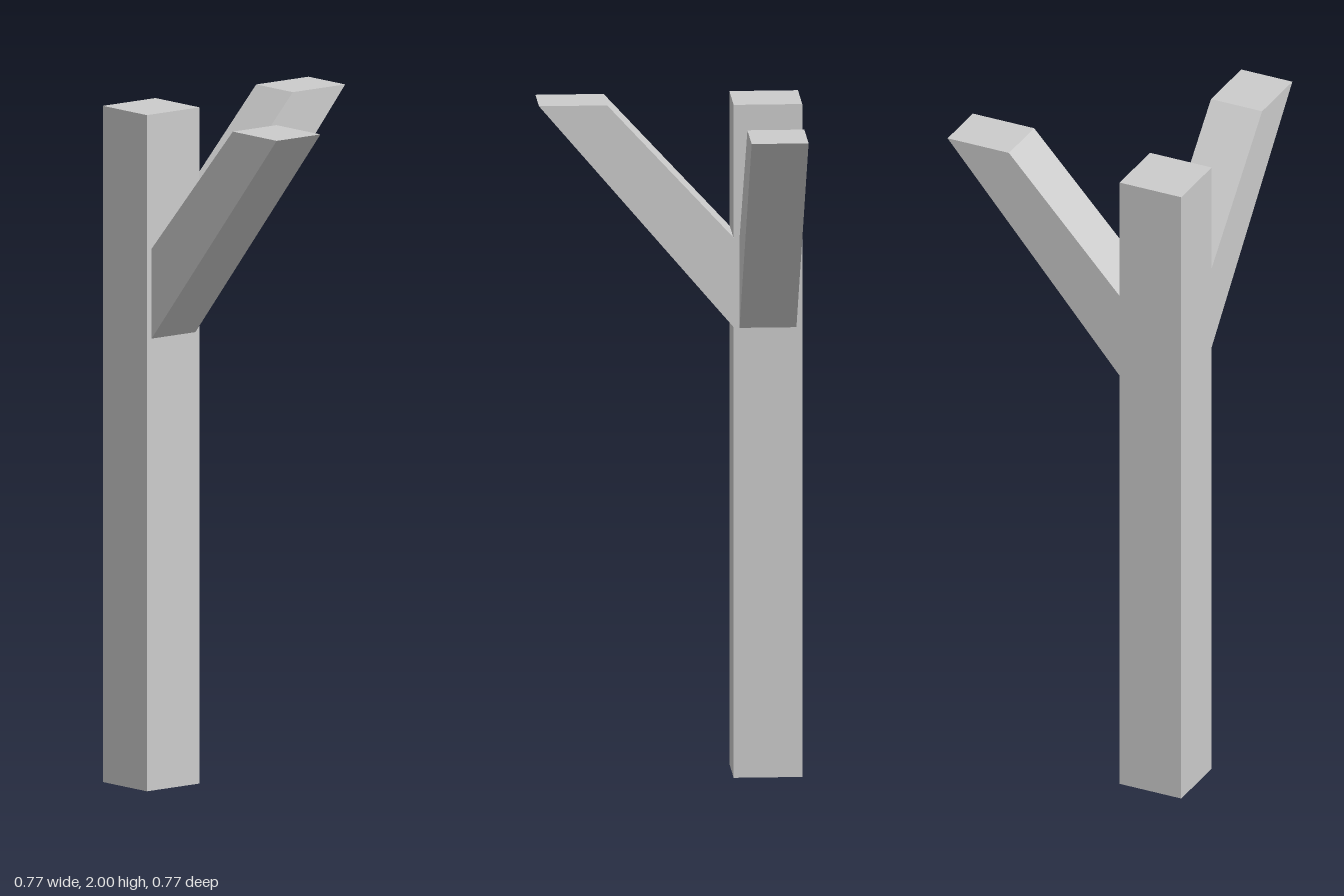
import * as THREE from 'three';

export function createModel() {
  const group = new THREE.Group();
  group.name = 'cornerPostWithBraces';
  const material = new THREE.MeshStandardMaterial({ color: 0xcccccc, flatShading: true });

  // Square upright post
  const post = new THREE.Mesh(new THREE.BoxGeometry(0.2, 2, 0.2), material);
  post.name = 'post';
  post.position.set(-0.284, 1, 0.284);
  group.add(post);

  // Diagonal brace, mitred flush with the post face and the post top
  const profile = new THREE.Shape([
    new THREE.Vector2(-0.184, 1.337),
    new THREE.Vector2(0.383, 2),
    new THREE.Vector2(0.184, 2),
    new THREE.Vector2(-0.184, 1.603),
  ]);
  const braceGeometry = new THREE.ExtrudeGeometry(profile, { depth: 0.166, bevelEnabled: false });

  const addBrace = (name, x, z, turn) => {
    const brace = new THREE.Mesh(braceGeometry, material);
    brace.name = name;
    brace.position.set(x, 0, z);
    brace.rotation.y = turn;
    group.add(brace);
  };
  addBrace('sideBrace', 0, 0.2, 0);
  addBrace('backBrace', -0.367, 0, Math.PI / 2);

  return group;
}
